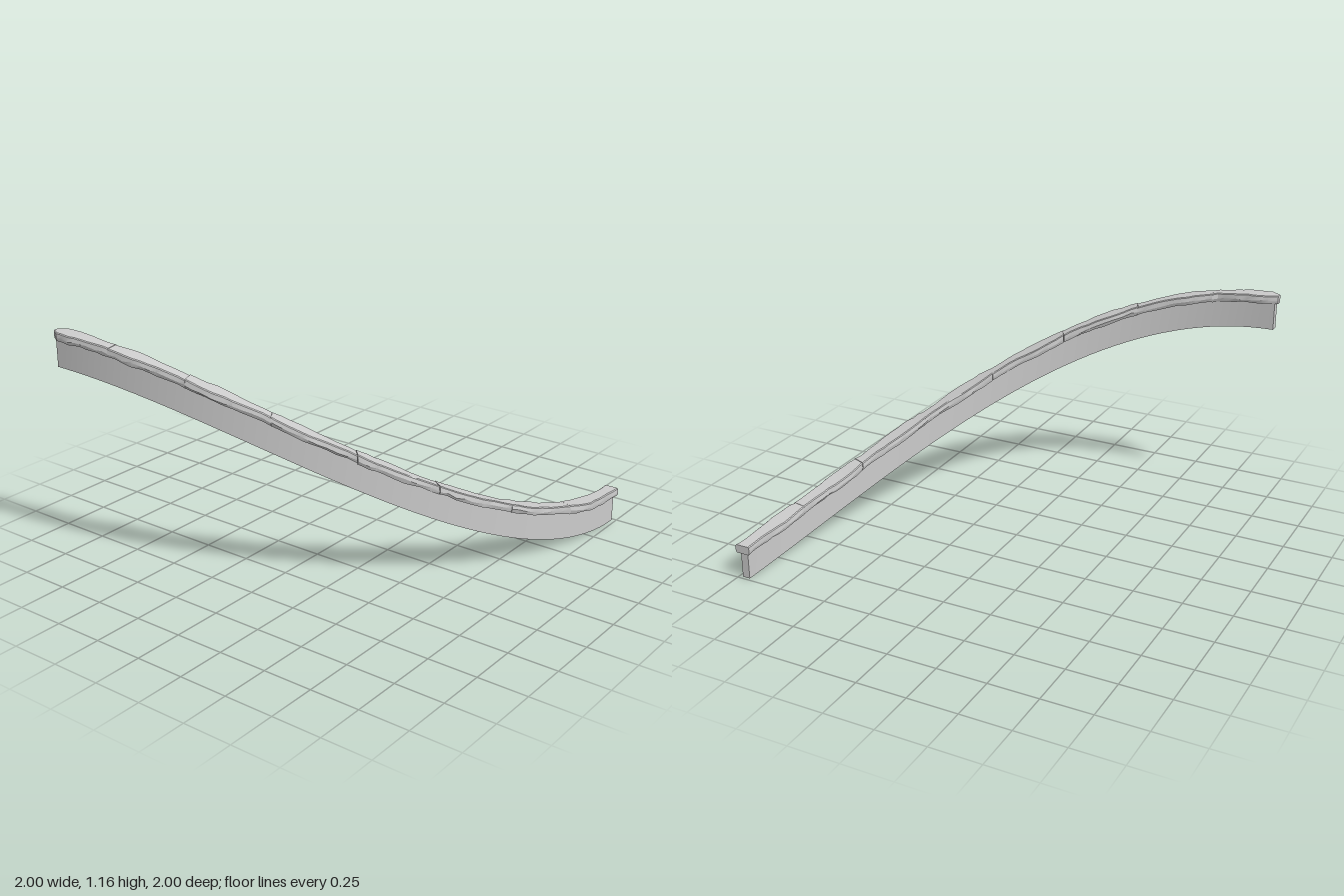
import * as THREE from 'three';
import { toCreasedNormals } from 'three/addons/utils/BufferGeometryUtils.js';

const DEG = Math.PI / 180;

// Small seeded generator for the chipped stone edges
function seeded(seed) {
  return () => {
    seed = (seed * 16807) % 2147483647;
    return seed / 2147483647;
  };
}

// Quarter-turn rising path: t in degrees, o = offset outwards, h = height above the wall foot
function pathPoint(t, o, h) {
  const a = t * DEG, s = Math.sin(a), c = Math.cos(a);
  return [0.985 - (1.93 + o) * s, 0.975 * s * s + h, -0.985 + (1.945 + o) * c];
}

// Closed solid from rings of [outward, height] corners (counter-clockwise) at given angles
function sweep(stations) {
  const n = stations[0].ring.length, pos = [], idx = [];
  for (const { t, ring } of stations) {
    ring.forEach(([o, h, dt = 0]) => pos.push(...pathPoint(t + dt, o, h)));
  }
  const last = (stations.length - 1) * n;
  for (let i = 0; i < last; i += n) {
    for (let j = 0; j < n; j++) {
      const k = (j + 1) % n;
      idx.push(i + j, i + k, i + n + j, i + k, i + n + k, i + n + j);
    }
  }
  for (let j = 1; j < n - 1; j++) {
    idx.push(0, j + 1, j, last, last + j, last + j + 1);
  }
  const g = new THREE.BufferGeometry();
  g.setAttribute('position', new THREE.Float32BufferAttribute(pos, 3));
  g.setIndex(idx);
  return toCreasedNormals(g, 25 * DEG);
}

export function createModel() {
  const model = new THREE.Group();
  const material = new THREE.MeshStandardMaterial({ color: 0xcccccc });
  const rand = seeded(4217);
  const jitter = (amount) => (rand() - 0.5) * 2 * amount;

  // Thin curved wall
  const wallStations = [];
  for (let i = 0; i <= 48; i++) {
    wallStations.push({
      t: (i / 48) * 90,
      ring: [[-0.02, 0], [0.02, 0], [0.02, 0.15], [-0.02, 0.15]],
    });
  }
  const wall = new THREE.Mesh(sweep(wallStations), material);
  wall.name = 'curvedWall';
  model.add(wall);

  // Rough coping stones, each swelling in width towards its upper end
  const coping = new THREE.Group();
  coping.name = 'coping';
  const joints = [-0.44, 12, 23.5, 34.8, 46.2, 57.6, 69, 80.4, 90.44];
  const steps = 9;
  for (let s = 0; s < joints.length - 1; s++) {
    const from = joints[s] + (s ? 0.04 : 0);
    const to = joints[s + 1];
    const stations = [];
    for (let i = 0; i <= steps; i++) {
      const inner = i > 0 && i < steps;
      const t = from + ((to - from) * (i + (inner ? jitter(0.25) : 0))) / steps;
      const swell = Math.cos(((t - 8.4) / 11.3) * Math.PI * 2);
      const tip = s === joints.length - 2 && i === steps ? 0.45 : 1;
      const half = 0.042 + 0.007 * swell;
      const outer = (half + jitter(0.004)) * tip;
      const back = (-half + jitter(0.004)) * tip;
      const top = 0.181 + jitter(0.002);
      const low = 0.139 + jitter(0.003);
      stations.push({
        t,
        ring: [
          [back + 0.006, low],
          [outer - 0.006, low + jitter(0.003)],
          [outer + jitter(0.002), 0.156 + jitter(0.005)],
          [outer - 0.003, top - 0.004],
          [outer - 0.008, top],
          [back + 0.008, top],
          [back + 0.003, top - 0.004],
          [back + jitter(0.002), 0.156 + jitter(0.005)],
        ],
      });
    }
    const stone = new THREE.Mesh(sweep(stations), material);
    stone.name = `copingStone${s + 1}`;
    coping.add(stone);
  }
  model.add(coping);

  return model;
}
